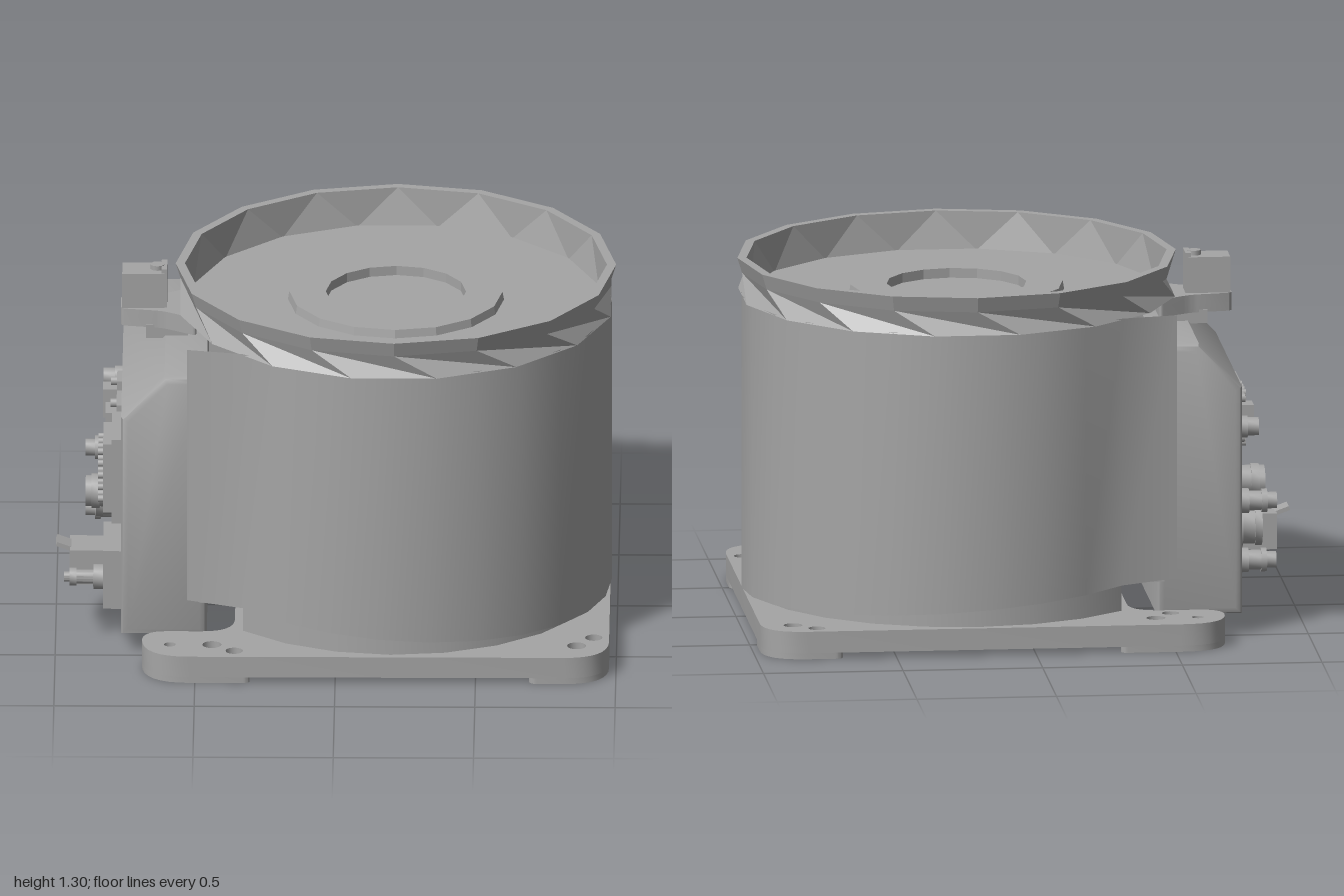
import * as THREE from 'three';
import { toCreasedNormals } from 'three/addons/utils/BufferGeometryUtils.js';

const CX = 0.21; // drum axis

export function createModel() {
  const model = new THREE.Group();
  const grey = new THREE.MeshStandardMaterial({ color: 0xa5a5a5, side: THREE.DoubleSide });
  grey.name = 'machineGrey';

  const add = (name, geo, x = 0, y = 0, z = 0, parent = model) => {
    const m = new THREE.Mesh(geo, grey);
    m.name = name;
    m.position.set(x, y, z);
    parent.add(m);
    return m;
  };
  const crease = (geo, a = 0.5) => toCreasedNormals(geo, a);
  // box given by its limits
  const block = (name, x0, x1, y0, y1, z0, z1, parent) =>
    add(name, new THREE.BoxGeometry(x1 - x0, y1 - y0, z1 - z0), (x0 + x1) / 2, (y0 + y1) / 2, (z0 + z1) / 2, parent);

  // polygon with rounded corners, corners are [x, z, radius]
  const rounded = (pts) => {
    const s = new THREE.Shape();
    pts.forEach(([x, y, r], i) => {
      const p = new THREE.Vector2(x, y);
      const toward = (q) => p.clone().add(new THREE.Vector2(q[0] - x, q[1] - y).setLength(r));
      const a = toward(pts[(i + pts.length - 1) % pts.length]);
      const b = toward(pts[(i + 1) % pts.length]);
      if (i) s.lineTo(a.x, a.y); else s.moveTo(a.x, a.y);
      s.quadraticCurveTo(x, y, b.x, b.y);
    });
    s.closePath();
    return s;
  };
  // horizontal slab from a shape in x and z
  const slab = (name, shape, y0, y1) => {
    const g = new THREE.ExtrudeGeometry(shape, { depth: y1 - y0, bevelEnabled: false, curveSegments: 8 });
    g.rotateX(Math.PI / 2);
    return add(name, crease(g), 0, y1, 0);
  };

  // base plate with bolt holes, notched on the connector side
  const holes = [[0.78, -0.71, 0.031], [0.86, -0.65, 0.034], [0.86, 0.65, 0.034], [0.92, 0.57, 0.031],
    [-0.44, -0.65, 0.034], [-0.44, 0.65, 0.034], [-0.59, -0.65, 0.021], [-0.59, 0.65, 0.021],
    [-0.5, -0.57, 0.031], [-0.36, 0.71, 0.031]];
  const drill = (shape, test) => {
    holes.filter(test).forEach(([x, z, r]) => {
      const h = new THREE.Path();
      h.absarc(x, z, r, 0, Math.PI * 2, true);
      shape.holes.push(h);
    });
    return shape;
  };
  slab('basePlate', drill(rounded([[-0.69, -0.77, 0.17], [0.975, -0.77, 0.16], [0.975, 0.77, 0.16], [-0.69, 0.77, 0.17],
    [-0.69, 0.52, 0.09], [-0.36, 0.52, 0.12], [-0.36, -0.52, 0.12], [-0.69, -0.52, 0.09]]), () => true), 0.022, 0.1);

  // corner feet
  for (const s of [-1, 1]) {
    const right = [[0.69, 0.77 * s, 0.03], [0.975, 0.77 * s, 0.16], [0.975, 0.48 * s, 0.03], [0.69, 0.48 * s, 0.13]];
    const left = [[-0.69, 0.77 * s, 0.17], [-0.3, 0.77 * s, 0.03], [-0.34, 0.53 * s, 0.1], [-0.69, 0.53 * s, 0.08]];
    slab('rightFoot', drill(rounded(right), (h) => h[0] > 0 && h[1] * s > 0), 0, 0.022);
    slab('leftFoot', drill(rounded(left), (h) => h[0] < 0 && h[1] * s > 0), 0, 0.022);
  }

  // inner drum, cut flat on the connector side
  const cut = Math.acos(-0.54 / 0.745);
  const core = new THREE.Shape();
  for (let i = 0; i <= 18; i++) {
    const a = -cut + (2 * cut * i) / 18;
    core[i ? 'lineTo' : 'moveTo'](CX + 0.745 * Math.cos(a), 0.745 * Math.sin(a));
  }
  core.closePath();
  slab('innerDrum', core, 0.09, 1.165);

  // outer sleeve: arc with straight ends and a sloping lower edge
  const n = 20, end = Math.acos(-0.54 / 0.77);
  const line = [[-0.53, -0.505]];
  for (let i = 0; i <= n; i++) {
    const a = -end + (2 * end * i) / n;
    line.push([CX + 0.77 * Math.cos(a), 0.765 * Math.sin(a)]);
  }
  line.push([-0.53, 0.505]);
  const pos = [], idx = [];
  line.forEach(([x, z], i) => {
    pos.push(x, 0.16 - 0.055 * (x - CX) / 0.77, z, x, 1.17, z);
    if (i) {
      const k = i * 2;
      idx.push(k - 2, k - 1, k, k, k - 1, k + 1);
    }
  });
  const sleeve = new THREE.BufferGeometry();
  sleeve.setAttribute('position', new THREE.Float32BufferAttribute(pos, 3));
  sleeve.setIndex(idx);
  sleeve.computeVertexNormals();
  add('drumSleeve', sleeve);

  // faceted rim, lower ring turned by half a side
  const lathe = (pts, seg) => new THREE.LatheGeometry(pts.map((p) => new THREE.Vector2(...p)), seg);
  const rim = lathe([[0.72, 1.165], [0.782, 1.165], [0.768, 1.25], [0.785, 1.305], [0.752, 1.305], [0.735, 1.165]], 16);
  const rp = rim.attributes.position, c = Math.cos(Math.PI / 16), s = Math.sin(Math.PI / 16);
  for (let i = 0; i < rp.count; i++) {
    if (rp.getY(i) > 1.2) continue;
    const x = rp.getX(i), z = rp.getZ(i);
    rp.setXYZ(i, x * c + z * s, rp.getY(i), z * c - x * s);
  }
  add('rim', crease(rim, 0.05), CX);

  // top deck with raised ring and central recess
  add('topDeck', crease(lathe([[0.755, 1.17], [0.385, 1.17], [0.38, 1.2], [0.25, 1.2], [0.25, 1.14], [0, 1.14]], 16), 0.2), CX);

  // connector housing with sloped top edge
  const prof = new THREE.Shape([[-0.74, 0.1], [-0.485, 0.1], [-0.485, 1.035], [-0.6, 1.035], [-0.74, 0.89]]
    .map((p) => new THREE.Vector2(...p)));
  const housing = new THREE.ExtrudeGeometry(prof, { depth: 0.946, bevelThickness: 0.027, bevelSize: 0.025, bevelSegments: 2 });
  add('connectorHousing', crease(housing, 0.6), 0, 0, -0.473);
  for (const k of [-1, 1]) {
    block('housingTab', -0.53, -0.33, 0.2, 1.1, k * 0.455 - 0.045, k * 0.455 + 0.045);
    add('tabScrew', new THREE.CylinderGeometry(0.03, 0.03, 0.025, 12), -0.46, 1.11, k * 0.455);
  }

  // top latch bracket
  slab('latchPlate', rounded([[-0.77, -0.06, 0.02], [-0.62, -0.085, 0.03], [-0.5, -0.16, 0.02],
    [-0.5, 0.16, 0.02], [-0.62, 0.085, 0.03], [-0.77, 0.06, 0.02]]), 1.09, 1.155);
  block('latchFoot', -0.68, -0.53, 1.05, 1.1, -0.08, 0.08);
  block('latchBlock', -0.765, -0.615, 1.155, 1.285, -0.055, 0.055);
  block('latchLip', -0.625, -0.605, 1.15, 1.3, -0.05, 0.05);
  add('latchScrew', new THREE.CylinderGeometry(0.025, 0.025, 0.02, 12), -0.64, 1.292, 0);

  // round sockets, each a stack of [radius, start, end] measured outward from the panel
  const socket = (name, z, y, steps, sides = 16) => {
    const g = new THREE.Group();
    g.name = name;
    g.position.set(-0.765, y, z);
    steps.forEach(([r, a, b]) => {
      const geo = new THREE.CylinderGeometry(r, r, b - a, sides);
      geo.rotateZ(Math.PI / 2);
      add(name + 'Ring', crease(geo), -(a + b) / 2, 0, 0, g);
    });
    model.add(g);
  };
  const small = [[0.045, -0.01, 0.035], [0.036, 0.035, 0.08], [0.043, 0.08, 0.1], [0.03, 0.1, 0.135]];
  socket('upperSocket', -0.36, 0.73, [[0.04, -0.01, 0.03], [0.033, 0.03, 0.07]]);
  socket('middleSocket', -0.36, 0.46, small);
  socket('lowerSocket', -0.34, 0.24, small);
  socket('largeSocket', -0.2, 0.34, [[0.085, -0.01, 0.025], [0.07, 0.025, 0.07], [0.076, 0.07, 0.095]]);
  socket('centreSocket', 0.04, 0.45, [[0.07, -0.01, 0.03], [0.056, 0.03, 0.13], [0.062, 0.08, 0.11]]);
  socket('plugSocket', 0.37, 0.25, [[0.06, -0.01, 0.05], [0.045, 0.05, 0.1], [0.025, 0.1, 0.16], [0.032, 0.16, 0.185], [0.018, 0.185, 0.205]]);

  // rectangular ports
  const port = (name, z, y, w, h, d) => {
    const g = new THREE.Group();
    g.name = name;
    block(name + 'Flange', -0.785, -0.76, y - h / 2, y + h / 2, z - w / 2, z + w / 2, g);
    block(name + 'Shell', -0.765 - d, -0.76, y - h * 0.3, y + h * 0.3, z - w * 0.36, z + w * 0.36, g);
    for (const k of [-1, 1]) {
      const screw = new THREE.CylinderGeometry(0.016, 0.016, 0.025, 8);
      screw.rotateZ(Math.PI / 2);
      add(name + 'Screw', screw, -0.795, y + k * h * 0.4, z, g);
    }
    model.add(g);
  };
  port('firstPort', -0.16, 0.72, 0.11, 0.18, 0.07);
  port('secondPort', 0.03, 0.71, 0.15, 0.18, 0.06);

  // multi-pin connector
  block('pinConnectorFlange', -0.8, -0.76, 0.48, 0.8, 0.16, 0.44);
  block('pinConnectorShell', -0.83, -0.79, 0.51, 0.77, 0.19, 0.41);
  for (let i = 0; i < 4; i++) {
    for (let j = 0; j < 5; j++) {
      const pin = new THREE.CylinderGeometry(0.013, 0.013, 0.02, 8);
      pin.rotateZ(Math.PI / 2);
      add('pin', pin, -0.838, 0.55 + j * 0.045, 0.225 + i * 0.05);
    }
  }

  // plug with lever
  block('plugFlange', -0.83, -0.76, 0.15, 0.37, 0.14, 0.43);
  block('plugBody', -0.95, -0.82, 0.18, 0.31, 0.12, 0.27);
  const lever = block('plugLever', -1, -0.92, 0.3, 0.315, 0.155, 0.235);
  lever.rotation.z = -0.35;
  return model;
}
